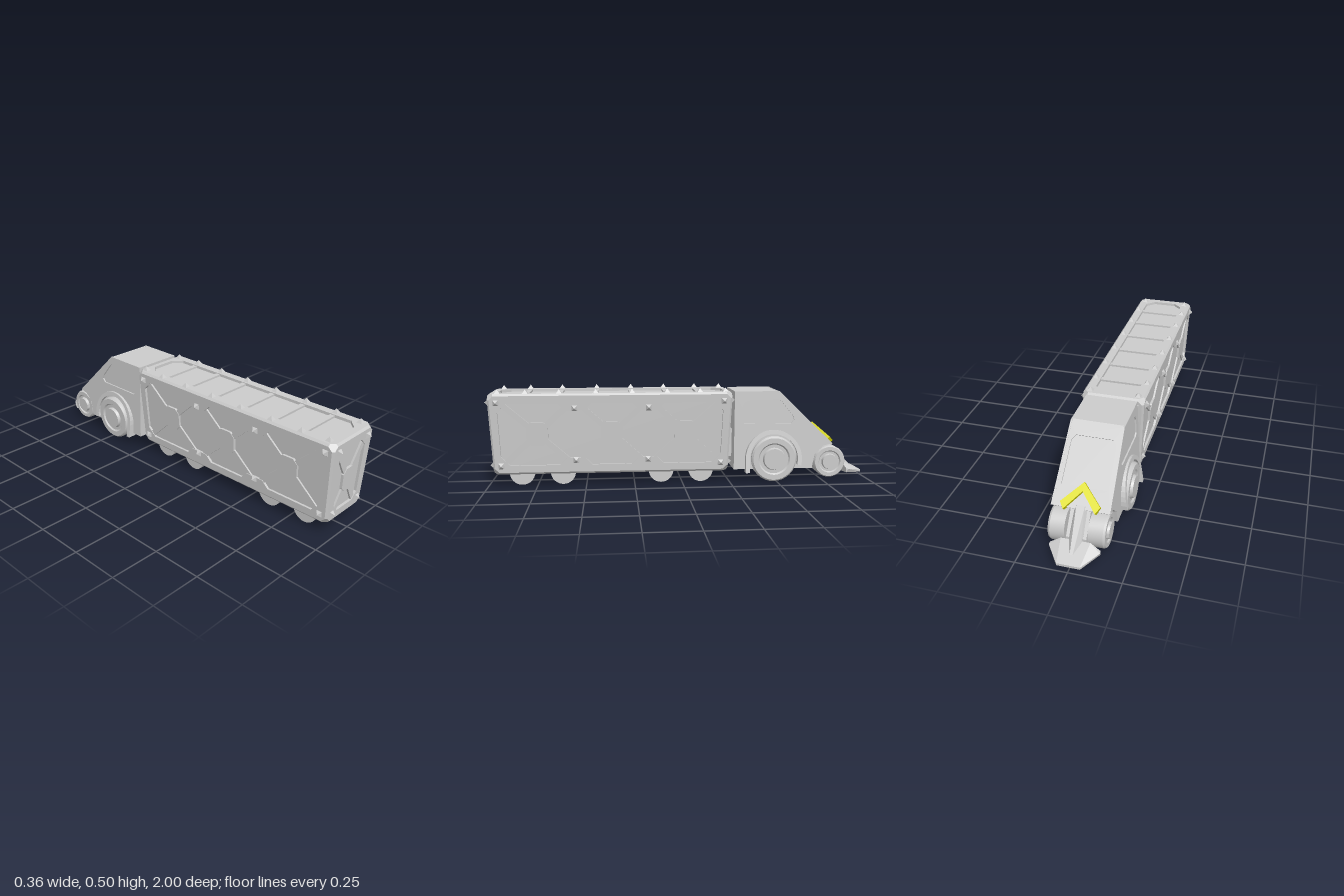
import * as THREE from 'three';
import { toCreasedNormals } from 'three/addons/utils/BufferGeometryUtils.js';
import { ConvexGeometry } from 'three/addons/geometries/ConvexGeometry.js';

const grey = new THREE.MeshStandardMaterial({ color: 0xcccccc });
const yellow = new THREE.MeshStandardMaterial({ color: 0xdddd00 });

const V = (x, y, z) => new THREE.Vector3(x, y, z);
const toShape = pts => new THREE.Shape(pts.map(p => new THREE.Vector2(...p)));

function add(parent, name, geo, mat = grey) {
  const mesh = new THREE.Mesh(geo, mat);
  mesh.name = name;
  parent.add(mesh);
  return mesh;
}

// Flat slab from lo to hi along an axis. Outline is (z,y) for x, (x,z) for y, (x,y) for z.
function slab(axis, pts, lo, hi, hole) {
  const shape = toShape(pts);
  if (hole) shape.holes.push(toShape(hole));
  const geo = new THREE.ExtrudeGeometry(shape, { depth: hi - lo, bevelEnabled: false });
  if (axis === 'x') return geo.rotateY(-Math.PI / 2).translate(hi, 0, 0);
  if (axis === 'y') return geo.rotateX(Math.PI / 2).translate(0, hi, 0);
  return geo.translate(0, 0, lo);
}

// Slab on the outer (+) or mirrored (-) side
const sided = (s, axis, pts, lo, hi, hole) =>
  s > 0 ? slab(axis, pts, lo, hi, hole) : slab(axis, pts, -hi, -lo, hole);

// Rectangle with cut corners
const octa = (a0, a1, b0, b1, c) => [[a0 + c, b0], [a1 - c, b0], [a1, b0 + c], [a1, b1 - c],
  [a1 - c, b1], [a0 + c, b1], [a0, b1 - c], [a0, b0 + c]];

// Straight strip of width w between two points
function strip([ax, ay], [bx, by], w) {
  const l = Math.hypot(bx - ax, by - ay), nx = -(by - ay) / l * w / 2, ny = (bx - ax) / l * w / 2;
  return [[ax - nx, ay - ny], [bx - nx, by - ny], [bx + nx, by + ny], [ax + nx, ay + ny]];
}

function warp(geo, rule) {
  const p = geo.attributes.position, v = new THREE.Vector3();
  for (let i = 0; i < p.count; i++) {
    rule(v.fromBufferAttribute(p, i));
    p.setXYZ(i, v.x, v.y, v.z);
  }
  geo.computeVertexNormals();
  return geo;
}

// Four-sided stud pointing along dir
function stud(pos, dir, r = 0.021) {
  const geo = new THREE.ConeGeometry(r, 0.021, 4, 1).toNonIndexed();
  geo.rotateY(Math.PI / 4).translate(0, 0.0105, 0);
  geo.applyQuaternion(new THREE.Quaternion().setFromUnitVectors(V(0, 1, 0), dir));
  return geo.translate(pos.x, pos.y, pos.z);
}

// Wheel whose outer face points to side s
function wheel(r, x0, x1, s) {
  const prof = [[0, x0], [r, x0], [r, x1 - 0.01], [r * 0.93, x1], [r * 0.7, x1], [r * 0.64, x1 - 0.008],
    [r * 0.5, x1 - 0.008], [r * 0.46, x1 + 0.008], [0, x1 + 0.008]].map(p => new THREE.Vector2(...p));
  return toCreasedNormals(new THREE.LatheGeometry(prof, 32).rotateZ(-s * Math.PI / 2), 0.5);
}

function createWagon() {
  const g = new THREE.Group();
  g.name = 'wagon';
  g.position.z = 0.355;
  const W = 0.16, L = 0.625, Y0 = 0.063, Y1 = 0.48, H = (Y1 - Y0) / 2, CY = (Y0 + Y1) / 2;
  const half = [W, H, L], e = 0.01, c = 0.03, d = 0.014;
  // The body narrows towards its bottom
  const taper = v => {
    const t = (v.y - Y0) / (Y1 - Y0);
    v.x *= 0.86 + 0.14 * t;
    v.z *= 0.968 + 0.032 * t;
  };
  const put = (name, geo) => add(g, name, warp(geo, taper));
  put('wagonCore', new THREE.BoxGeometry(2 * (W - d), 2 * (H - d), 2 * (L - d)).toNonIndexed().translate(0, CY, 0));

  // Bevelled edge beams and cut corners
  const at = (signs, cut) => V(...[0, 1, 2].map(i => signs[i] * (half[i] - cut[i]))).add(V(0, CY, 0));
  for (let k = 0; k < 3; k++) for (const s of [-1, 1]) for (const t of [-1, 1]) {
    const pts = [];
    for (const end of [-1, 1]) for (const [a, b] of [[0, e], [e, 0], [d, d]]) {
      const signs = [], cut = [];
      signs[k] = end; signs[(k + 1) % 3] = s; signs[(k + 2) % 3] = t;
      cut[k] = c; cut[(k + 1) % 3] = a; cut[(k + 2) % 3] = b;
      pts.push(at(signs, cut));
    }
    put('edgeBeam', new ConvexGeometry(pts));
  }
  const cuts = [[0, e, c], [0, c, e], [e, 0, c], [c, 0, e], [e, c, 0], [c, e, 0], [d, d, c], [d, c, d], [c, d, d]];
  for (const x of [-1, 1]) for (const y of [-1, 1]) for (const z of [-1, 1])
    put('corner', new ConvexGeometry(cuts.map(cut => at([x, y, z], cut))));

  // Octagonal hub with four diagonal braces
  function cross(s, axis, out, a, y, hubA, hubY, reachA, reachY) {
    put('hub', sided(s, axis, octa(a - hubA, a + hubA, y - hubY, y + hubY, 0.024), out - d, out - 0.001));
    for (const i of [-1, 1]) for (const j of [-1, 1])
      put('brace', sided(s, axis, strip([a, y], [a + i * reachA, y + j * reachY], 0.028), out - d, out - 0.004));
  }
  const endHole = octa(-0.105, 0.105, 0.11, 0.428, 0.035);
  const sideHole = octa(-0.58, 0.58, 0.11, 0.43, 0.045);
  for (const s of [-1, 1]) {
    // End panels
    put('endFrame', sided(s, 'z', octa(-W + e, W - e, Y0 + e, Y1 - e, c - e), L - d, L, endHole));
    cross(s, 'z', L, 0, 0.252, 0.046, 0.06, 0.095, 0.155);
    // Side panels
    put('sideFrame', sided(s, 'x', octa(-L + e, L - e, Y0 + e, Y1 - e, c - e), W - d, W, sideHole));
    for (const z of [-0.385, 0, 0.385]) cross(s, 'x', W, z, 0.275, 0.055, 0.06, 0.168, 0.15);
    for (const z of [-0.19, 0.19]) for (const [y, j] of [[0.435, -1], [0.105, 1]]) {
      put('sideTab', sided(s, 'x', [[z - 0.09, y], [z + 0.09, y], [z + 0.05, y + j * 0.04], [z - 0.05, y + j * 0.04]], W - d, W));
      put('stud', stud(V(s * W, y + j * 0.03, z), V(s, 0, 0)));
    }
    for (const i of [-1, 1]) for (const y of [0.108, 0.435]) {
      put('stud', stud(V(s * W, y, i * 0.582), V(s, 0, 0)));
      put('stud', stud(V(i * 0.117, y, s * L), V(0, 0, s)));
    }
    // Roof studs
    for (const z of [-0.59, -0.455, -0.285, -0.105, 0.08, 0.265, 0.435, 0.575])
      put('roofStud', stud(V(s * (Math.abs(z) > 0.5 ? 0.123 : 0.135), Y1, z), V(0, 1, 0)));
  }
  put('roofFrame', slab('y', octa(-W + e, W - e, -L + e, L - e, c - e), Y1 - d, Y1, octa(-0.108, 0.108, -0.59, 0.58, 0.045)));
  for (const z of [-0.455, -0.285, -0.105, 0.08, 0.265, 0.435])
    put('roofRib', new THREE.BoxGeometry(0.22, 0.012, 0.025).toNonIndexed().translate(0, Y1 - 0.01, z));
  put('floor', slab('y', octa(-W + e, W - e, -L + e, L - e, c - e), Y0, Y0 + d));

  // Rollers
  for (const z of [0.82, 0.61, 0.1, -0.11]) for (const s of [-1, 1]) {
    const roller = add(g, 'roller', new THREE.CylinderGeometry(0.065, 0.065, 0.067, 32).rotateZ(Math.PI / 2));
    roller.position.set(s * 0.0725, 0.067, z - 0.355);
  }
  return g;
}

function createCab() {
  const g = new THREE.Group();
  g.name = 'cab';
  const narrow = v => { v.x *= 1 - 0.1 * (v.y - 0.07) / 0.41; };
  const lower = [[-0.7, 0.07], [-0.28, 0.07], [-0.285, 0.48]];
  const under = [[-0.81, 0.2], [-0.76, 0.188], [-0.715, 0.14]];
  const win = [[-0.335, 0.31], [-0.585, 0.31], [-0.602, 0.33], [-0.595, 0.35], [-0.535, 0.425], [-0.515, 0.437],
    [-0.37, 0.437], [-0.335, 0.425], [-0.322, 0.4], [-0.322, 0.325]];
  add(g, 'cabCore', warp(slab('x', [...lower, [-0.51, 0.48], [-0.8, 0.2], ...under.slice(1)], -0.137, 0.137), narrow));
  add(g, 'coupling', new THREE.BoxGeometry(0.12, 0.15, 0.06)).position.set(0, 0.2, -0.265);

  for (const s of [-1, 1]) {
    add(g, 'cabSide', warp(sided(s, 'x', [...lower, [-0.522, 0.48], ...under], 0.136, 0.145, win), narrow));

    // Flared arch over the big wheel
    const outer = [[-0.34, 0.055]], inner = [[-0.362, 0.055]];
    for (let i = 0; i <= 20; i++) {
      const a = Math.PI * 1.08 * i / 20, u = Math.cos(a), v = Math.sin(a);
      outer.push([-0.49 + 0.15 * u, 0.127 + 0.15 * v]);
      inner.push([-0.49 + 0.128 * u, 0.127 + 0.128 * v]);
    }
    add(g, 'fender', warp(sided(s, 'x', [...outer, ...inner.reverse()], 0.1, 0.148),
      v => { v.x += s * Math.max(0, 0.28 - v.y) * 0.14; }));

    add(g, 'bigWheel', wheel(0.12, 0.09, 0.168, s)).position.set(0, 0.125, -0.492);
    add(g, 'smallWheel', wheel(0.085, 0.055, 0.135, s)).position.set(0, 0.1, -0.8);
  }
  add(g, 'axle', new THREE.CylinderGeometry(0.025, 0.025, 0.2, 16).rotateZ(Math.PI / 2)).position.set(0, 0.1, -0.8);

  // Sloping front: x across, y up the slope, z outwards
  const slope = new THREE.Group();
  slope.name = 'frontSlope';
  const up = V(0, 0.28, 0.29).normalize(), across = V(-1, 0, 0);
  slope.quaternion.setFromRotationMatrix(new THREE.Matrix4().makeBasis(across, up, across.clone().cross(up)));
  slope.position.set(0, 0.2, -0.81);
  g.add(slope);
  add(slope, 'windscreenFrame', slab('z', [[-0.14, 0], [0.14, 0], [0.13, 0.402], [-0.13, 0.402]], -0.01, 0,
    [[-0.112, 0.1], [0.112, 0.1], [0.108, 0.31], [0.09, 0.335], [-0.09, 0.335], [-0.108, 0.31]]));
  add(slope, 'chevron', slab('z', [[0, 0.122], [-0.095, 0.02], [-0.075, -0.012], [0, 0.08], [0.075, -0.012], [0.095, 0.02]],
    -0.01, 0.02), yellow);

  // Nose between the small wheels, with a fin running down to the plough
  const pairs = pts => new ConvexGeometry(pts.flatMap(([x, y, z]) => [V(x, y, z), V(-x, y, z)]));
  add(g, 'nose', pairs([[0.048, 0.06, -0.68], [0.048, 0.19, -0.68], [0.048, 0.19, -0.8], [0.048, 0.09, -0.88], [0.048, 0.045, -0.88]]));
  add(g, 'fin', pairs([[0.035, 0.05, -0.78], [0.02, 0.215, -0.8], [0.035, 0.19, -0.79], [0.006, 0.045, -0.965], [0.03, 0.04, -0.93]]));
  add(g, 'plough', pairs([[0.12, 0.058, -0.898], [0.12, 0.036, -0.898], [0.12, 0.054, -0.912],
    [0.055, 0.036, -1], [0.055, 0.024, -1], [0.07, 0.085, -0.888], [0.07, 0.036, -0.888]]));
  return g;
}

export function createModel() {
  const model = new THREE.Group();
  model.name = 'armouredHauler';
  model.add(createWagon(), createCab());
  model.position.z = 0.01;
  const root = new THREE.Group();
  root.add(model);
  return root;
}
